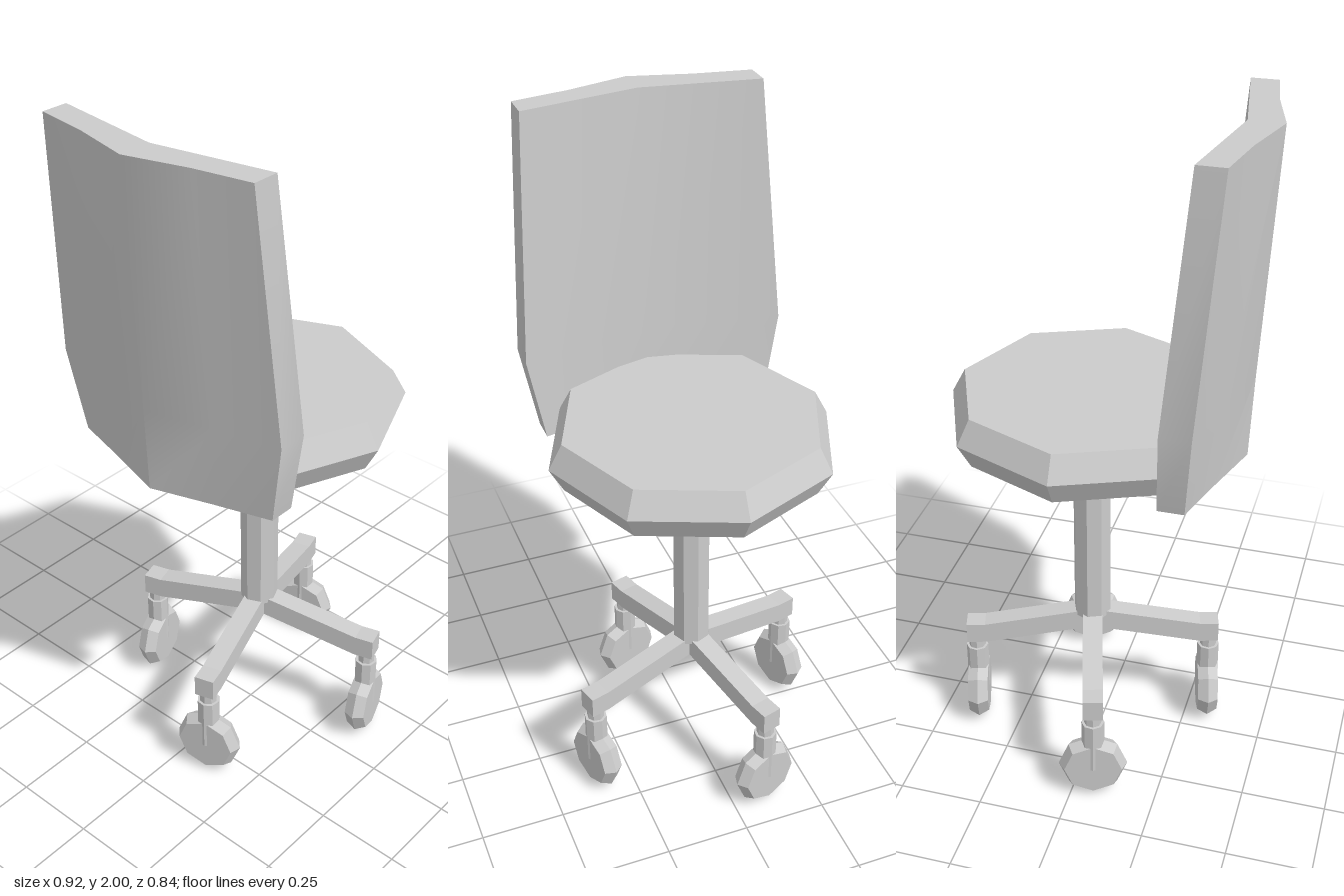
import * as THREE from 'three';
import { toCreasedNormals } from 'three/addons/utils/BufferGeometryUtils.js';

const flat = new THREE.MeshStandardMaterial({ color: 0xcccccc, flatShading: true });
const creased = new THREE.MeshStandardMaterial({ color: 0xcccccc });

function part(name, geometry, parent, material = flat) {
  const mesh = new THREE.Mesh(geometry, material);
  mesh.name = name;
  parent.add(mesh);
  return mesh;
}

// Eight-sided disc that swells to a ridge at mid height
function bevelledDisc(rim, face, height) {
  const profile = [[0, -height / 2], [face, -height / 2], [rim, 0], [face, height / 2], [0, height / 2]];
  return new THREE.LatheGeometry(profile.map(([r, y]) => new THREE.Vector2(r, y)), 8);
}

// Curved, tapering slab lofted through horizontal sections
function backrestGeometry() {
  // y, half width, back x at edge / quarter / centre, front x at edge / centre
  const rows = [
    [1.04, 0.345, -0.313, -0.36, -0.415, -0.237, -0.315],
    [1.29, 0.39, -0.335, -0.375, -0.425, -0.247, -0.325],
    [2.0, 0.345, -0.387, -0.415, -0.462, -0.308, -0.365],
  ];
  const positions = [], index = [], n = 8;
  for (const [y, w, be, bq, bc, fe, fc] of rows) {
    const loop = [[be, -w], [bq, -w * 0.52], [bc, 0], [bq, w * 0.52], [be, w], [fe, w], [fc, 0], [fe, -w]];
    for (const [x, z] of loop) positions.push(x, y, z);
  }
  for (let r = 0; r < rows.length - 1; r++) {
    for (let i = 0; i < n; i++) {
      const a = r * n + i, b = r * n + (i + 1) % n;
      index.push(a, b, b + n, a, b + n, a + n);
    }
  }
  // Bottom and top caps
  const cap = [[0, 1, 7], [1, 6, 7], [1, 2, 6], [2, 3, 6], [3, 5, 6], [3, 4, 5]];
  const top = (rows.length - 1) * n;
  for (const [a, b, c] of cap) {
    index.push(a, c, b);
    index.push(top + a, top + b, top + c);
  }
  const geometry = new THREE.BufferGeometry();
  geometry.setAttribute('position', new THREE.Float32BufferAttribute(positions, 3));
  geometry.setIndex(index);
  return toCreasedNormals(geometry, 0.5);
}

// Sloping bar with a level block at its end
function legGeometry() {
  const outline = [[0, 0.355], [0.335, 0.295], [0.392, 0.295], [0.392, 0.362], [0.335, 0.362], [0, 0.42]];
  const shape = new THREE.Shape(outline.map(([x, y]) => new THREE.Vector2(x, y)));
  const geometry = new THREE.ExtrudeGeometry(shape, { depth: 0.06, bevelEnabled: false });
  return geometry.translate(0, 0, -0.03);
}

export function createModel() {
  const chair = new THREE.Group();
  chair.name = 'swivelChair';

  part('backrest', backrestGeometry(), chair, creased);

  // Seat, post and base share one vertical axis
  const swivel = new THREE.Group();
  swivel.name = 'seatAndBase';
  swivel.position.x = 0.04;
  chair.add(swivel);

  part('seat', bevelledDisc(0.42, 0.38, 0.15), swivel).position.y = 1.115;
  part('post', new THREE.CylinderGeometry(0.057, 0.057, 0.66, 8), swivel).position.y = 0.73;

  // Four legs with casters
  const leg = legGeometry();
  const pin = new THREE.CylinderGeometry(0.026, 0.026, 0.06, 8);
  const fork = new THREE.CylinderGeometry(0.034, 0.034, 0.165, 8);
  const wheel = bevelledDisc(0.103, 0.086, 0.062);
  for (let i = 0; i < 4; i++) {
    const arm = new THREE.Group();
    arm.name = 'legWithCaster';
    arm.rotation.y = 0.28 + i * Math.PI / 2;
    swivel.add(arm);

    part('leg', leg, arm);
    part('casterPin', pin, arm).position.set(0.364, 0.285, 0);
    part('casterFork', fork, arm).position.set(0.364, 0.1825, 0);
    const disc = part('wheel', wheel, arm);
    disc.position.set(0.364, 0.103, 0);
    disc.rotation.z = Math.PI / 2;
  }
  return chair;
}
